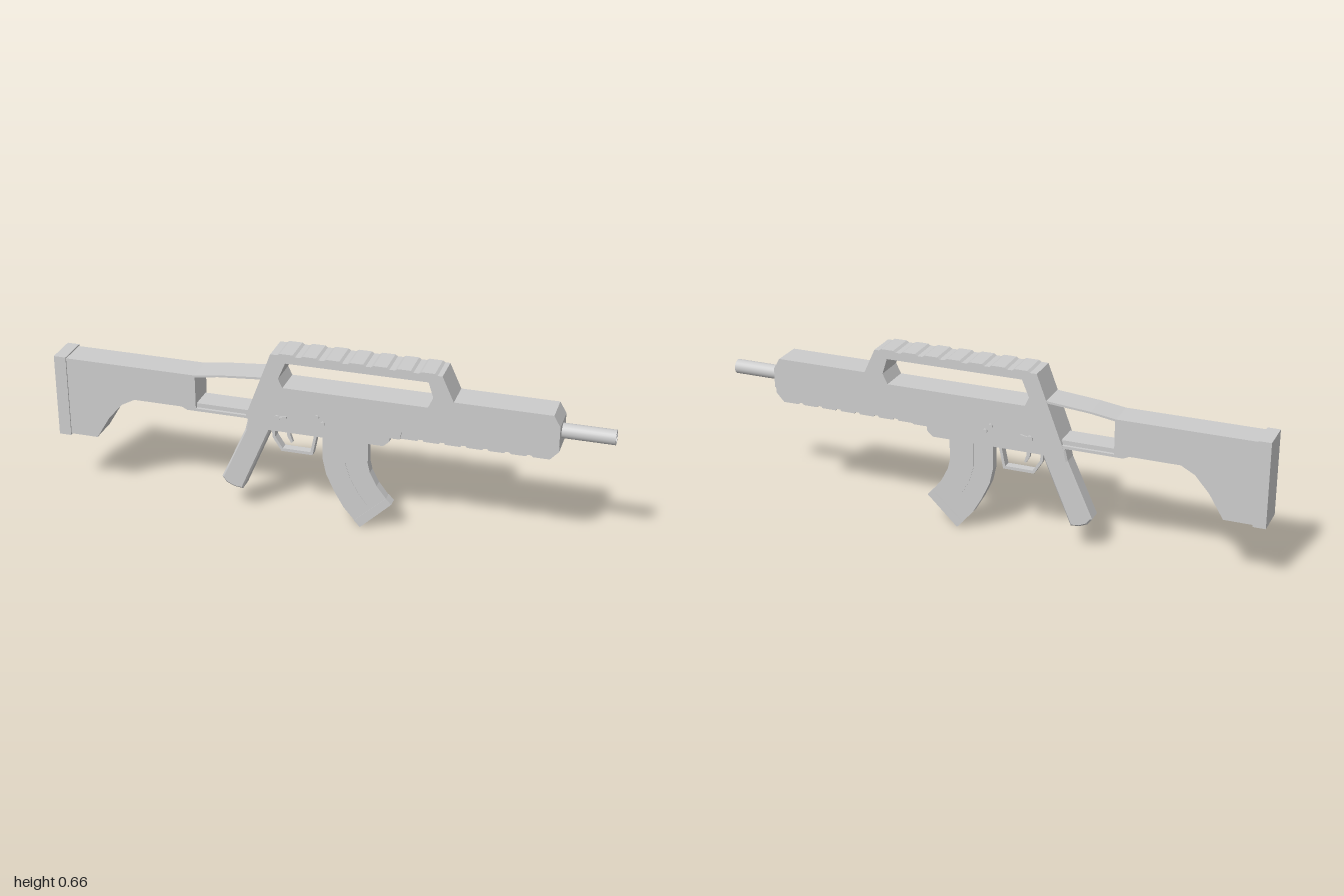
import * as THREE from 'three';

const material = new THREE.MeshStandardMaterial({ color: 0xcccccc, flatShading: true });
const smooth = new THREE.MeshStandardMaterial({ color: 0xcccccc });

export function createModel() {
  const model = new THREE.Group();

  const add = (name, geometry, mat = material) => {
    const mesh = new THREE.Mesh(geometry, mat);
    mesh.name = name;
    model.add(mesh);
    return mesh;
  };
  const outline = (points) => points.map(([x, y]) => new THREE.Vector2(x, y));

  // Side profile extruded evenly about z = 0, with optional cut-outs and bevelled edges
  const slab = (name, points, halfWidth, holes = [], bevel = 0) => {
    const shape = new THREE.Shape(outline(points));
    for (const h of holes) shape.holes.push(new THREE.Path(outline(h)));
    const depth = 2 * (halfWidth - bevel);
    const geometry = new THREE.ExtrudeGeometry(shape, {
      depth, bevelEnabled: bevel > 0, bevelSize: bevel, bevelThickness: bevel,
      bevelOffset: -bevel, bevelSegments: 1,
    });
    geometry.translate(0, 0, -depth / 2);
    return add(name, geometry);
  };
  const rect = (x0, x1, y0, y1) => [[x0, y0], [x1, y0], [x1, y1], [x0, y1]];

  // Receiver with the carry handle window
  slab('receiver', [
    [-0.285, 0.392], [0.275, 0.392], [0.28, 0.42], [0.3, 0.449], [0.82, 0.449], [0.82, 0.52],
    [0.797, 0.56], [0.458, 0.56], [0.417, 0.65], [-0.187, 0.65],
  ], 0.056, [[
    [-0.134, 0.622], [0.37, 0.622], [0.388, 0.565], [0.37, 0.528], [-0.145, 0.528], [-0.16, 0.56],
  ]]);

  // Recessed handguard with shallow grooves underneath
  const guard = [[0.27, 0.45], [0.27, 0.392]];
  for (let i = 0; i < 6; i++) {
    const x = 0.335 + i * 0.075;
    guard.push([x, 0.392], [x + 0.004, 0.398], [x + 0.018, 0.398], [x + 0.022, 0.392]);
  }
  guard.push([0.79, 0.392], [0.82, 0.425], [0.82, 0.45]);
  slab('handguard', guard, 0.048);

  // Sloped teeth along the top of the handle
  for (let i = 0; i < 7; i++) {
    const x = -0.165 + i * 0.083;
    slab('railTooth', [[x, 0.648], [x + 0.07, 0.648], [x + 0.058, 0.656], [x + 0.012, 0.656]], 0.056);
  }

  // Hollow barrel
  const barrel = new THREE.LatheGeometry(outline([
    [0.018, 0.06], [0.018, 0.2], [0.018, 0.2], [0.026, 0.2], [0.026, 0.2], [0.026, 0],
  ]).reverse(), 24);
  barrel.rotateZ(-Math.PI / 2);
  barrel.translate(0.8, 0.483, 0);
  add('barrel', barrel, smooth);
  const bore = new THREE.CircleGeometry(0.018, 24);
  bore.rotateY(Math.PI / 2);
  bore.translate(0.86, 0.483, 0);
  add('boreEnd', bore);

  // Lower receiver, pistol grip and magazine
  slab('lowerReceiver', [
    [-0.29, 0.395], [-0.27, 0.345], [0.21, 0.345], [0.232, 0.365], [0.232, 0.395],
  ], 0.032);
  slab('grip', [
    [-0.28, 0.39], [-0.293, 0.335], [-0.386, 0.13], [-0.37, 0.108], [-0.34, 0.095],
    [-0.308, 0.092], [-0.2, 0.345], [-0.2, 0.39],
  ], 0.032, [], 0.006);
  slab('magazine', [
    [-0.012, 0.36], [-0.012, 0.25], [0, 0.195], [0.03, 0.13], [0.065, 0.07], [0.113, 0.015],
    [0.226, 0.122], [0.185, 0.175], [0.16, 0.225], [0.152, 0.26], [0.152, 0.36],
  ], 0.017);
  slab('magazineRib', [
    [0.06, 0.34], [0.06, 0.25], [0.078, 0.19], [0.11, 0.13], [0.145, 0.085],
    [0.152, 0.092], [0.119, 0.135], [0.088, 0.193], [0.07, 0.25], [0.07, 0.34],
  ], 0.0185);
  slab('magazineFloorplate', [[0.104, 0.024], [0.126, 0], [0.24, 0.11], [0.22, 0.13]], 0.019);

  // Trigger and its guard
  slab('triggerGuard', [
    [-0.2, 0.35], [-0.197, 0.31], [-0.165, 0.26], [-0.05, 0.26], [-0.032, 0.35],
    [-0.042, 0.35], [-0.058, 0.271], [-0.16, 0.271], [-0.187, 0.313], [-0.19, 0.35],
  ], 0.015);
  slab('trigger', [
    [-0.15, 0.35], [-0.145, 0.315], [-0.132, 0.292], [-0.125, 0.296], [-0.133, 0.32], [-0.133, 0.35],
  ], 0.006);

  // Shoulder stock with its top strap and lower rail
  slab('stock', [
    [-0.96, 0.53], [-0.96, 0.23], [-0.853, 0.23], [-0.802, 0.315], [-0.75, 0.375], [-0.7, 0.402],
    [-0.52, 0.402], [-0.5, 0.392], [-0.467, 0.392], [-0.467, 0.53],
  ], 0.055);
  slab('stockStrap', [
    [-0.47, 0.522], [-0.38, 0.536], [-0.21, 0.55], [-0.21, 0.559], [-0.235, 0.556], [-0.38, 0.543], [-0.47, 0.53],
  ], 0.055);
  slab('stockLowerPlate', rect(-0.48, -0.25, 0.392, 0.402), 0.055);
  slab('stockLowerRail', rect(-0.48, -0.25, 0.4, 0.418), 0.044);
  slab('buttPlate', rect(-1, -0.955, 0.225, 0.535), 0.06);

  // Pins and selector on both sides
  for (const side of [1, -1]) {
    for (const [x, y, r] of [[-0.02, 0.434, 0.008], [0, 0.412, 0.008], [-0.165, 0.41, 0.011]]) {
      const pin = new THREE.CylinderGeometry(r, r, 0.01, 12);
      pin.rotateX(Math.PI / 2);
      pin.translate(x, y, side * 0.057);
      add('pin', pin);
    }
    const lever = add('selectorLever', new THREE.BoxGeometry(0.035, 0.008, 0.008));
    lever.position.set(-0.147, 0.414, side * 0.058);
    lever.rotation.z = 0.2;
  }
  return model;
}
